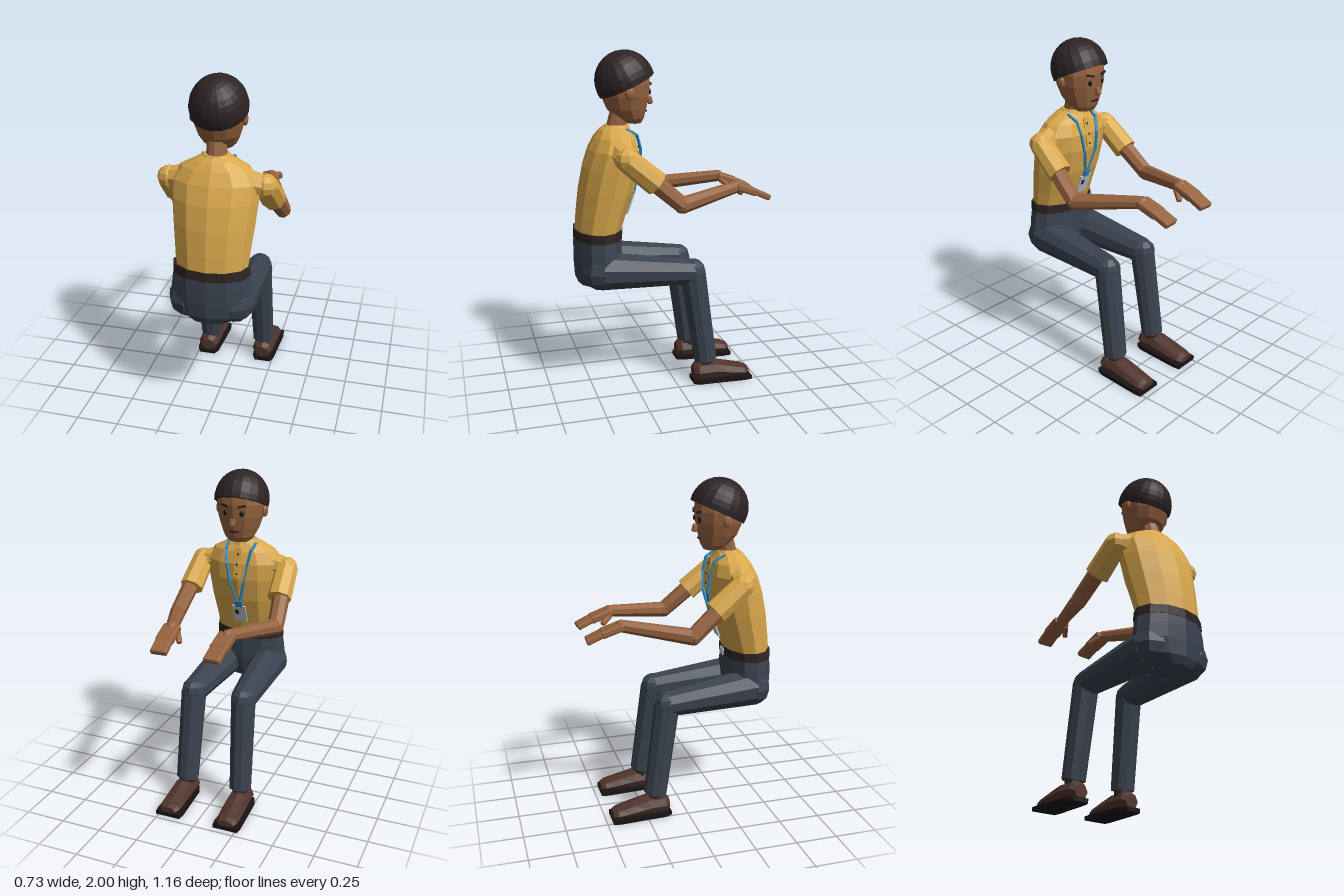
import * as THREE from 'three';
import { RoundedBoxGeometry } from 'three/addons/geometries/RoundedBoxGeometry.js';

const mat = (name, color) => {
  const m = new THREE.MeshStandardMaterial({ color, flatShading: true });
  m.name = name;
  return m;
};

// Closed skin over elliptical rings stacked in y: [y, zBack, zFront, halfWidth]
function loft(rings, n = 12) {
  const pos = [], idx = [];
  for (const [y, back, front, rx] of rings) {
    for (let j = 0; j < n; j++) {
      const a = (j / n) * Math.PI * 2;
      pos.push(rx * Math.cos(a), y, (back + front) / 2 + ((back - front) / 2) * Math.sin(a));
    }
  }
  for (let i = 0; i < rings.length - 1; i++) {
    for (let j = 0; j < n; j++) {
      const k = (j + 1) % n, a = i * n + j, b = i * n + k;
      idx.push(a, a + n, b, b, a + n, b + n);
    }
  }
  const top = (rings.length - 1) * n;
  for (let j = 1; j < n - 1; j++) {
    idx.push(0, j, j + 1, top, top + j + 1, top + j);
  }
  const g = new THREE.BufferGeometry();
  g.setAttribute('position', new THREE.Float32BufferAttribute(pos, 3));
  g.setIndex(idx);
  g.computeVertexNormals();
  return g;
}

export function createModel() {
  const model = new THREE.Group();
  model.name = 'seatedPerson';

  const skin = mat('skin', 0x96633f);
  const hairMat = mat('hair', 0x2d2325);
  const shirt = mat('shirt', 0xd9a84c);
  const trousers = mat('trousers', 0x3a424f);
  const leather = mat('shoe leather', 0x50342c);
  const dark = mat('dark rubber', 0x1a1314);
  const beltMat = mat('belt', 0x2e2423);
  const blue = mat('lanyard blue', 0x2c8cc4);
  const grey = mat('card grey', 0xc6cacf);

  const V = (p) => new THREE.Vector3(...p);
  const add = (name, geometry, material, p = [0, 0, 0]) => {
    const m = new THREE.Mesh(geometry, material);
    m.name = name;
    m.position.set(...p);
    model.add(m);
    return m;
  };
  // Tapered round limb from a to b
  const limb = (name, material, a, b, ra, rb, n = 8) => {
    const A = V(a), B = V(b), d = B.clone().sub(A);
    const m = add(name, new THREE.CylinderGeometry(rb, ra, d.length(), n), material);
    m.position.copy(A).add(B).multiplyScalar(0.5);
    m.quaternion.setFromUnitVectors(new THREE.Vector3(0, 1, 0), d.normalize());
    return m;
  };
  const ball = (name, material, p, r, sx = 1, sy = 1, sz = 1) => {
    const m = add(name, new THREE.SphereGeometry(r, 8, 6), material, p);
    m.scale.set(sx, sy, sz);
    return m;
  };
  // Box running from a to b, with width w and thickness h
  const bar = (name, material, a, b, w, h, round = 0) => {
    const A = V(a), B = V(b), len = A.distanceTo(B);
    const g = round ? new RoundedBoxGeometry(w, h, len, 1, round) : new THREE.BoxGeometry(w, h, len);
    const m = add(name, g, material);
    m.position.copy(A).add(B).multiplyScalar(0.5);
    m.lookAt(B);
    return m;
  };

  // Torso, belt and pelvis
  add('shirtBody', loft([
    [0.96, 0.57, 0.302, 0.208], [1.06, 0.562, 0.268, 0.218], [1.2, 0.545, 0.217, 0.234],
    [1.34, 0.514, 0.187, 0.247], [1.44, 0.477, 0.187, 0.25], [1.51, 0.44, 0.208, 0.2],
    [1.555, 0.408, 0.235, 0.115], [1.572, 0.385, 0.25, 0.075],
  ]), shirt);
  add('collar', loft([[1.55, 0.4, 0.228, 0.09], [1.578, 0.382, 0.24, 0.074]]), shirt);
  add('belt', loft([[0.922, 0.58, 0.292, 0.226], [0.975, 0.578, 0.292, 0.222]]), beltMat);
  add('beltBuckle', new THREE.BoxGeometry(0.055, 0.045, 0.008), grey, [0, 0.948, 0.289]);
  add('pelvis', loft([
    [0.645, 0.555, 0.34, 0.14], [0.69, 0.575, 0.31, 0.205], [0.78, 0.58, 0.295, 0.24],
    [0.87, 0.58, 0.295, 0.23], [0.93, 0.576, 0.296, 0.22],
  ]), trousers);

  // Shirt placket and buttons
  bar('placket', shirt, [0, 1.535, 0.212], [0, 1.36, 0.181], 0.04, 0.008);
  for (const [y, z] of [[1.5, 0.199], [1.44, 0.183], [1.38, 0.18]]) {
    ball('button', beltMat, [0, y, z], 0.007, 1, 1, 0.6);
  }

  // Lanyard with its card
  for (const s of [-1, 1]) {
    const pts = [[0.088, 1.56, 0.27], [0.08, 1.525, 0.207], [0.066, 1.44, 0.183],
      [0.045, 1.33, 0.178], [0.008, 1.18, 0.214]].map(([x, y, z]) => V([s * x, y, z]));
    for (let i = 0; i < pts.length - 1; i++) {
      bar('lanyardStrap', blue, pts[i].toArray(), pts[i + 1].toArray(), 0.016, 0.01);
    }
  }
  bar('cardClip', blue, [0, 1.2, 0.205], [0, 1.16, 0.22], 0.045, 0.012);
  bar('card', grey, [0, 1.165, 0.218], [0, 1.05, 0.26], 0.085, 0.009);
  bar('cardPicture', beltMat, [0.016, 1.135, 0.224], [0.016, 1.105, 0.235], 0.024, 0.002);

  // Neck and head
  limb('neck', skin, [0, 1.54, 0.318], [0, 1.67, 0.285], 0.058, 0.056, 10);
  add('head', loft([
    [1.585, 0.255, 0.165, 0.062], [1.615, 0.31, 0.146, 0.092], [1.67, 0.365, 0.13, 0.118],
    [1.74, 0.395, 0.115, 0.14], [1.81, 0.405, 0.107, 0.15], [1.88, 0.39, 0.115, 0.14],
    [1.95, 0.33, 0.18, 0.08],
  ]), skin);

  // Hair cap, raised at the forehead
  const R = 0.174, cut = 1.733;
  const profile = [new THREE.Vector2(0, R * Math.cos(cut))];
  for (let i = 0; i <= 9; i++) {
    const t = cut * (1 - i / 9);
    profile.push(new THREE.Vector2(R * Math.sin(t), R * Math.cos(t)));
  }
  const hair = add('hair', new THREE.LatheGeometry(profile, 20), hairMat, [0, 1.826, 0.257]);
  hair.rotation.x = 0.43;
  hair.scale.x = 0.94;

  // Face
  bar('nose', skin, [0, 1.735, 0.116], [0, 1.69, 0.104], 0.03, 0.03, 0.008);
  add('mouth', new THREE.BoxGeometry(0.05, 0.008, 0.008), dark, [0, 1.652, 0.135]);
  for (const s of [-1, 1]) {
    ball('ear', skin, [s * 0.147, 1.765, 0.262], 0.033, 0.5, 1.1, 0.9);
    const eye = ball('eye', dark, [s * 0.052, 1.765, 0.122], 0.015, 0.9, 1.2, 0.4);
    eye.rotation.y = s * -0.3;
    const brow = add('eyebrow', new THREE.BoxGeometry(0.05, 0.012, 0.01), hairMat, [s * 0.054, 1.81, 0.118]);
    brow.rotation.set(0, s * -0.3, s * 0.2);
  }

  for (const s of [-1, 1]) {
    const P = (x, y, z) => [s * x, y, z];

    // Arm
    const shoulder = P(0.275, 1.415, 0.312), elbow = P(0.316, 1.15, 0.005), wrist = P(0.17, 1.205, -0.375);
    ball('shoulder', shirt, shoulder, 0.068);
    limb('shoulderYoke', shirt, P(0.17, 1.43, 0.325), shoulder, 0.075, 0.06);
    limb('sleeve', shirt, shoulder, P(0.287, 1.275, 0.145), 0.068, 0.073);
    limb('upperArm', skin, shoulder, elbow, 0.055, 0.048);
    ball('elbow', skin, elbow, 0.049);
    limb('forearm', skin, elbow, wrist, 0.048, 0.036);
    ball('wrist', skin, wrist, 0.037);

    // Hand
    bar('palm', skin, P(0.168, 1.21, -0.365), P(0.163, 1.165, -0.495), 0.104, 0.046, 0.012);
    bar('fingers', skin, P(0.163, 1.172, -0.48), P(0.157, 1.128, -0.578), 0.098, 0.036, 0.01);
    bar('thumb', skin, P(0.135, 1.19, -0.375), P(0.095, 1.145, -0.435), 0.032, 0.03, 0.01);

    // Leg
    const hip = P(0.138, 0.745, 0.44), knee = P(0.162, 0.7, -0.108), ankle = P(0.178, 0.135, -0.188);
    ball('hip', trousers, hip, 0.115);
    limb('thigh', trousers, hip, knee, 0.116, 0.078, 10);
    ball('knee', trousers, knee, 0.079);
    limb('shin', trousers, knee, ankle, 0.077, 0.069, 10);
    limb('sock', beltMat, ankle, P(0.178, 0.08, -0.19), 0.05, 0.05);

    // Shoe upper, lofted from heel to toe, on a flat sole
    const upper = loft([
      [0.108, 0.1, 0.022, 0.045], [0.135, 0.125, 0.012, 0.066], [0.24, 0.128, 0.01, 0.069],
      [0.34, 0.1, 0.01, 0.07], [0.43, 0.075, 0.01, 0.066], [0.458, 0.06, 0.014, 0.05],
    ], 8);
    upper.rotateX(-Math.PI / 2);
    add('shoe', upper, leather, P(0.18, 0, 0)).rotation.y = s * -0.02;
    const outline = new THREE.Shape([[-0.05, 0.1], [0.05, 0.1], [0.068, 0.14], [0.083, 0.42],
      [0.078, 0.465], [-0.078, 0.465], [-0.083, 0.42], [-0.068, 0.14]].map((p) => new THREE.Vector2(...p)));
    const sole = new THREE.ExtrudeGeometry(outline, { depth: 0.024, bevelEnabled: false });
    sole.rotateX(-Math.PI / 2);
    add('sole', sole, dark, P(0.188, 0, 0));
  }
  return model;
}
